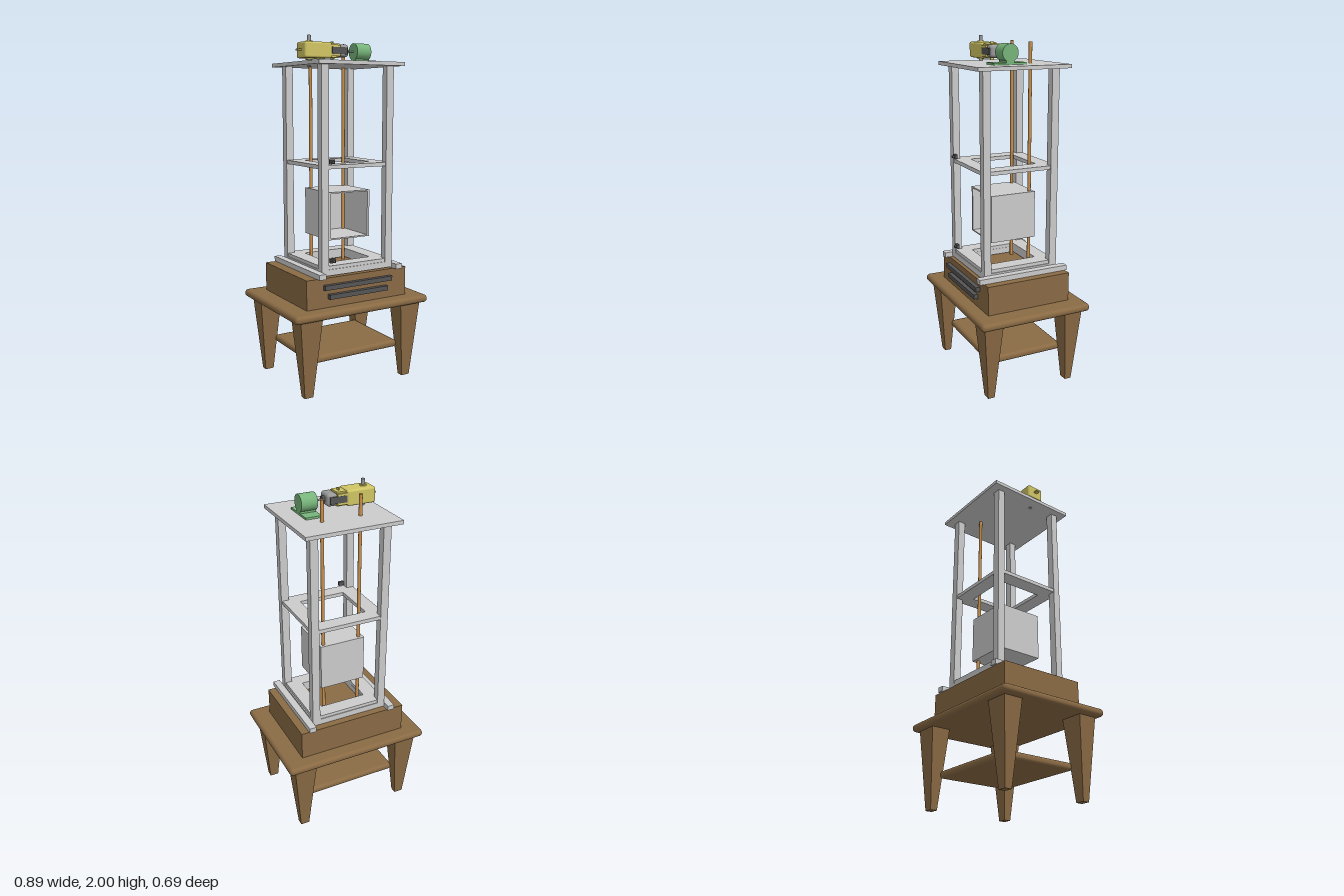
import * as THREE from 'three';
import { RoundedBoxGeometry } from 'three/addons/geometries/RoundedBoxGeometry.js';

const mat = (color) => new THREE.MeshStandardMaterial({ color });

export function createModel() {
  const model = new THREE.Group();
  const grey = mat(0xcccccc), wood = mat(0x896a44), copper = mat(0xc9924f);
  const yellow = mat(0xd0c564), green = mat(0x77b47a), dark = mat(0x555555), steel = mat(0x9a9a9a);

  const add = (name, geometry, material) => {
    const mesh = new THREE.Mesh(geometry, material);
    mesh.name = name;
    model.add(mesh);
    return mesh;
  };
  // Box given by its extents on each axis; r rounds the edges
  const box = (name, material, [x0, x1], [y0, y1], [z0, z1], r = 0) => {
    const size = [x1 - x0, y1 - y0, z1 - z0];
    const g = r ? new RoundedBoxGeometry(...size, 4, r) : new THREE.BoxGeometry(...size);
    g.translate((x0 + x1) / 2, (y0 + y1) / 2, (z0 + z1) / 2);
    return add(name, g, material);
  };
  // Cylinder along 'x', 'y' or 'z' from a to b, centred on the two other coordinates
  const rod = (name, material, axis, r, a, b, u, v, sides = 24) => {
    const g = new THREE.CylinderGeometry(r, r, b - a, sides);
    const m = (a + b) / 2;
    if (axis === 'x') g.rotateZ(Math.PI / 2).translate(m, u, v);
    else if (axis === 'z') g.rotateX(Math.PI / 2).translate(u, v, m);
    else g.translate(u, m, v);
    return add(name, g, material);
  };
  // Flat square frame with a square opening
  const ring = (name, [x0, x1], [y0, y1], [z0, z1], hole) => {
    const rect = (P, l, r, b, t) => new P([[l, b], [r, b], [r, t], [l, t]].map((p) => new THREE.Vector2(...p)));
    const shape = rect(THREE.Shape, x0, x1, -z1, -z0);
    const cx = (x0 + x1) / 2, cz = -(z0 + z1) / 2;
    shape.holes.push(rect(THREE.Path, cx - hole, cx + hole, cz - hole, cz + hole));
    const g = new THREE.ExtrudeGeometry(shape, { depth: y1 - y0, bevelEnabled: false });
    g.rotateX(-Math.PI / 2).translate(0, y0, 0);
    return add(name, g, grey);
  };

  // Table
  box('tableTop', wood, [-0.445, 0.442], [0.455, 0.5], [-0.344, 0.342], 0.021);
  box('tableShelf', wood, [-0.295, 0.295], [0.172, 0.215], [-0.235, 0.235], 0.019);
  for (const sx of [-1, 1]) for (const sz of [-1, 1]) {
    const g = new THREE.BoxGeometry(1, 0.46, 1).toNonIndexed();
    const p = g.attributes.position;
    for (let i = 0; i < p.count; i++) {
      const top = p.getY(i) > 0;
      p.setXYZ(i, sx * 0.332 + p.getX(i) * (top ? 0.138 : 0.053), top ? 0.46 : 0,
        sz * 0.254 + p.getZ(i) * (top ? 0.115 : 0.04));
    }
    g.computeVertexNormals();
    add('tableLeg', g, wood);
  }

  // Plinth with two plain raised strips on its front
  box('plinth', wood, [-0.335, 0.332], [0.5, 0.67], [-0.259, 0.258]);
  box('frontStrip', dark, [-0.23, 0.22], [0.605, 0.632], [0.258, 0.283]);
  box('frontStrip', dark, [-0.2, 0.19], [0.55, 0.577], [0.258, 0.283]);

  // Tower: side rails, frames, posts, roof plate
  for (const x of [[-0.27, -0.228], [0.243, 0.285]]) box('baseRail', grey, x, [0.67, 0.7], [-0.27, 0.287]);
  ring('baseFrame', [-0.228, 0.243], [0.675, 0.71], [-0.222, 0.24], 0.14);
  ring('lowerFrame', [-0.224, 0.236], [0.71, 0.73], [-0.218, 0.236], 0.14);
  ring('middleFrame', [-0.224, 0.236], [1.272, 1.294], [-0.218, 0.236], 0.14);
  for (const x of [[-0.228, -0.182], [0.197, 0.243]])
    for (const z of [[-0.222, -0.177], [0.197, 0.24]]) box('post', grey, x, [0.7, 1.836], z);
  box('roofPlate', grey, [-0.27, 0.287], [1.835, 1.856], [-0.272, 0.286]);

  // Guide rods
  for (const x of [-0.104, 0.12]) rod('guideRod', copper, 'y', 0.01, 0.67, 1.972, x, -0.105);

  // Cabin, open at the front
  const X = [-0.13, 0.145], Y = [0.855, 1.13], Z = [-0.13, 0.148], t = 0.014;
  box('cabinBack', grey, X, Y, [Z[0], Z[0] + t]);
  box('cabinFloor', grey, X, [Y[0], Y[0] + 0.008], Z);
  box('cabinRoof', grey, X, [Y[1] - 0.008, Y[1]], Z);
  box('cabinSide', grey, [X[0], X[0] + t], Y, Z);
  box('cabinSide', grey, [X[1] - t, X[1]], Y, Z);

  // Limit switches on the front post
  for (const [x, y] of [[-0.163, 1.312], [-0.157, 0.758]]) {
    box('switchBody', dark, [x - 0.016, x + 0.016], [y - 0.012, y + 0.012], [0.228, 0.244]);
    rod('switchButton', dark, 'z', 0.008, 0.24, 0.256, x, y, 16);
  }

  // Gear motor
  const cy = 1.919, cz = 0.049;
  box('gearbox', yellow, [-0.25, -0.078], [1.875, 1.963], [-0.004, 0.101], 0.012);
  box('gearboxNeck', yellow, [-0.09, -0.024], [1.88, 1.958], [0.012, 0.086]);
  box('gearboxCollar', yellow, [-0.09, -0.024], [1.888, 1.95], [-0.002, 0.099]);
  box('motorStrapClip', yellow, [-0.053, -0.045], [1.868, 1.97], [0.038, 0.06]);
  box('mountTab', yellow, [-0.275, -0.245], [1.915, 1.923], [0.038, 0.06]);
  box('motorCan', steel, [-0.026, 0.036], [1.885, 1.955], [0.002, 0.096], 0.018);
  for (const z of [[-0.003, 0.014], [0.084, 0.101]]) box('motorStrap', dark, [-0.078, 0.022], [1.9, 1.938], z);
  rod('motorBoss', dark, 'x', 0.018, 0.034, 0.05, cy, cz);
  rod('motorShaft', steel, 'x', 0.005, 0.05, 0.1, cy, cz);
  rod('outputCollar', yellow, 'y', 0.019, 1.866, 1.97, -0.198, cz);
  rod('outputShaft', steel, 'y', 0.011, 1.83, 2.0, -0.198, cz);

  // Drum on its mounting plate
  rod('drum', green, 'x', 0.048, 0.092, 0.185, cy, cz, 40);
  box('drumNeck', green, [0.092, 0.185], [1.86, 1.885], [0.025, 0.073]);
  box('drumPlate', green, [0.092, 0.185], [1.855, 1.867], [-0.048, 0.147]);

  return model;
}
